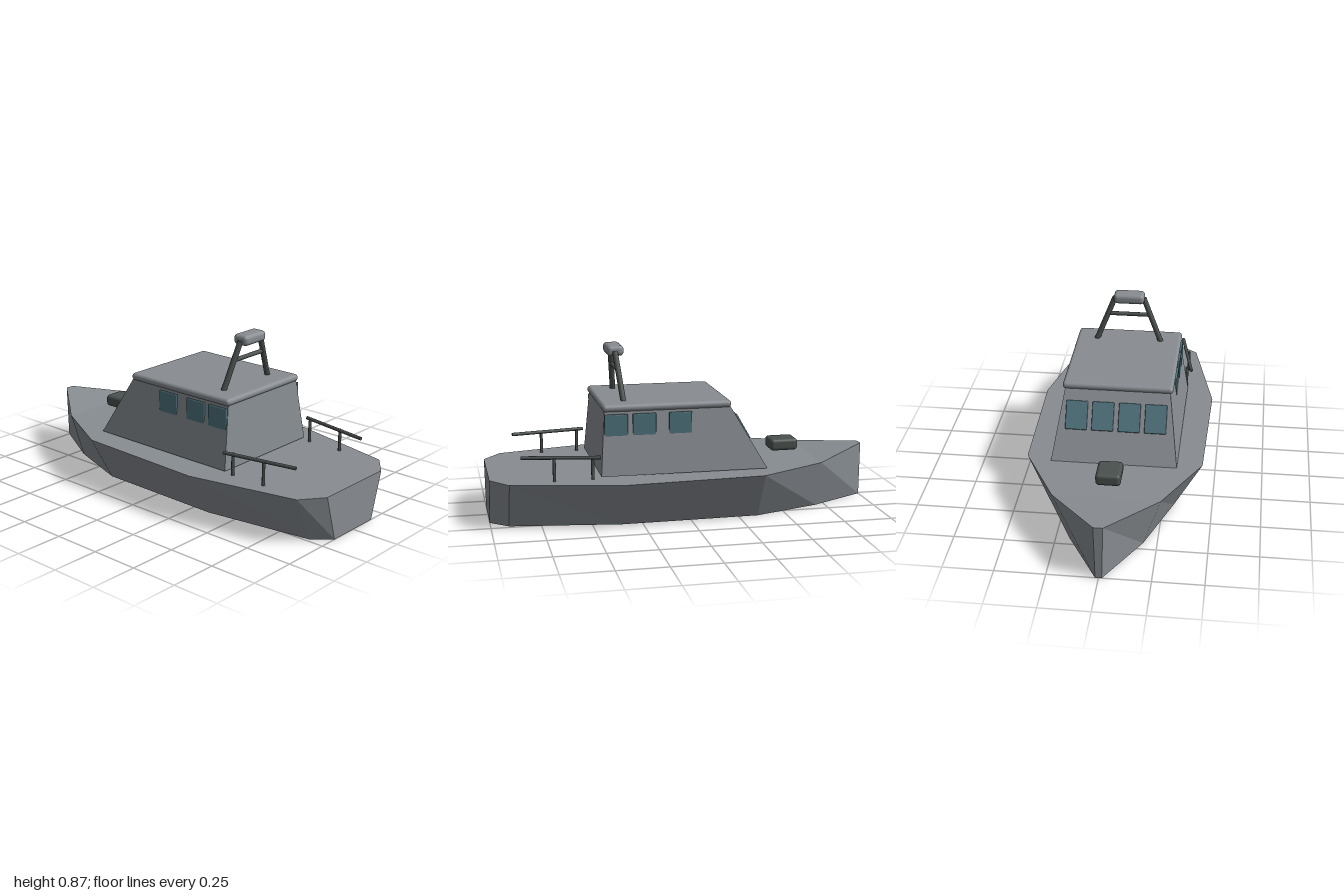
import * as THREE from 'three';
import { RoundedBoxGeometry } from 'three/addons/geometries/RoundedBoxGeometry.js';

const paint = (name, color) => {
  const m = new THREE.MeshStandardMaterial({ color });
  m.name = name;
  return m;
};

// Faceted solid lofted along z through four-cornered sections:
// each section is [bottom half width, bottom y, bottom z, top half width, top y, top z]
function loft(sections) {
  const ring = ([bw, by, bz, tw, ty, tz]) => [
    [-bw, by, bz], [bw, by, bz], [tw, ty, tz], [-tw, ty, tz],
  ];
  const pos = [];
  const quad = (a, b, c, d) => pos.push(...a, ...b, ...c, ...a, ...c, ...d);
  const rings = sections.map(ring);
  for (let i = 0; i + 1 < rings.length; i++) {
    const p = rings[i], q = rings[i + 1];
    for (let k = 0; k < 4; k++) {
      const n = (k + 1) % 4;
      quad(p[k], p[n], q[n], q[k]);
    }
  }
  const f = rings[0], l = rings[rings.length - 1];
  quad(f[3], f[2], f[1], f[0]);
  quad(l[0], l[1], l[2], l[3]);
  const g = new THREE.BufferGeometry();
  g.setAttribute('position', new THREE.Float32BufferAttribute(pos, 3));
  g.computeVertexNormals();
  return g;
}

export function createModel() {
  const boat = new THREE.Group();
  boat.name = 'patrolBoat';
  const grey = paint('hullGrey', 0x888d92);
  const dark = paint('darkFittings', 0x4a514e);
  const glass = paint('windowGlass', 0x4f727c);

  const add = (name, geometry, material, x = 0, y = 0, z = 0) => {
    const m = new THREE.Mesh(geometry, material);
    m.name = name;
    m.position.set(x, y, z);
    boat.add(m);
    return m;
  };
  const rounded = (name, w, h, d, r, material, x, y, z) =>
    add(name, new RoundedBoxGeometry(w, h, d, 4, r), material, x, y, z);
  const rod = (name, from, to, r) => {
    const a = new THREE.Vector3(...from), b = new THREE.Vector3(...to);
    const dir = b.clone().sub(a);
    const m = add(name, new THREE.CylinderGeometry(r, r, dir.length(), 12), dark);
    m.position.copy(a).add(b).multiplyScalar(0.5);
    m.quaternion.setFromUnitVectors(new THREE.Vector3(0, 1, 0), dir.normalize());
    return m;
  };

  // Hull: z, deck half width, deck height; the bow points to -z
  const stations = [
    [-1, 0.023, 0.285], [-0.7, 0.265, 0.25], [-0.35, 0.445, 0.246],
    [0.35, 0.46, 0.24], [0.91, 0.338, 0.238], [1, 0.222, 0.238],
  ];
  const hull = loft(stations.map(([z, w, y]) => [w * 0.685, 0, z, w, y, z]));
  add('hull', hull, grey);

  // Wheelhouse with raked windscreen, and its roof
  const cabin = loft([
    [0.318, 0.25, -0.395, 0.266, 0.575, -0.208],
    [0.318, 0.25, 0.455, 0.266, 0.575, 0.43],
  ]);
  add('wheelhouse', cabin, grey);
  rounded('roof', 0.56, 0.037, 0.655, 0.018, grey, 0, 0.583, 0.112);

  // Windscreen panes
  const rake = Math.atan2(0.187, 0.325);
  for (const x of [-0.2, -0.067, 0.067, 0.2]) {
    const pane = rounded('windscreenPane', 0.11, 0.146, 0.012, 0.005, glass, x, 0.458, -0.281);
    pane.rotation.x = rake;
  }

  for (const s of [-1, 1]) {
    // Side windows
    for (const z of [0.374, 0.231, 0.048]) {
      rounded('sideWindow', 0.013, 0.112, 0.118, 0.005, glass, s * 0.28, 0.499, z);
    }
    // Stern rail and posts
    rod('sternRail', [s * 0.334, 0.354, 0.46], [s * 0.264, 0.354, 0.845], 0.009);
    for (const z of [0.497, 0.687]) {
      rod('railPost', [s * 0.308, 0.235, z], [s * 0.308, 0.354, z], 0.008);
    }
    // Mast leg
    rod('mastLeg', [s * 0.172, 0.595, 0.318], [s * 0.076, 0.835, 0.343], 0.0145);
  }

  // Mast crossbar, radar housing and foredeck hatch
  rod('mastCrossbar', [-0.118, 0.743, 0.333], [0.118, 0.743, 0.333], 0.011);
  rounded('radarHousing', 0.162, 0.054, 0.086, 0.021, grey, 0, 0.838, 0.34);
  rounded('foredeckHatch', 0.124, 0.062, 0.148, 0.018, dark, 0, 0.303, -0.562);

  return boat;
}
